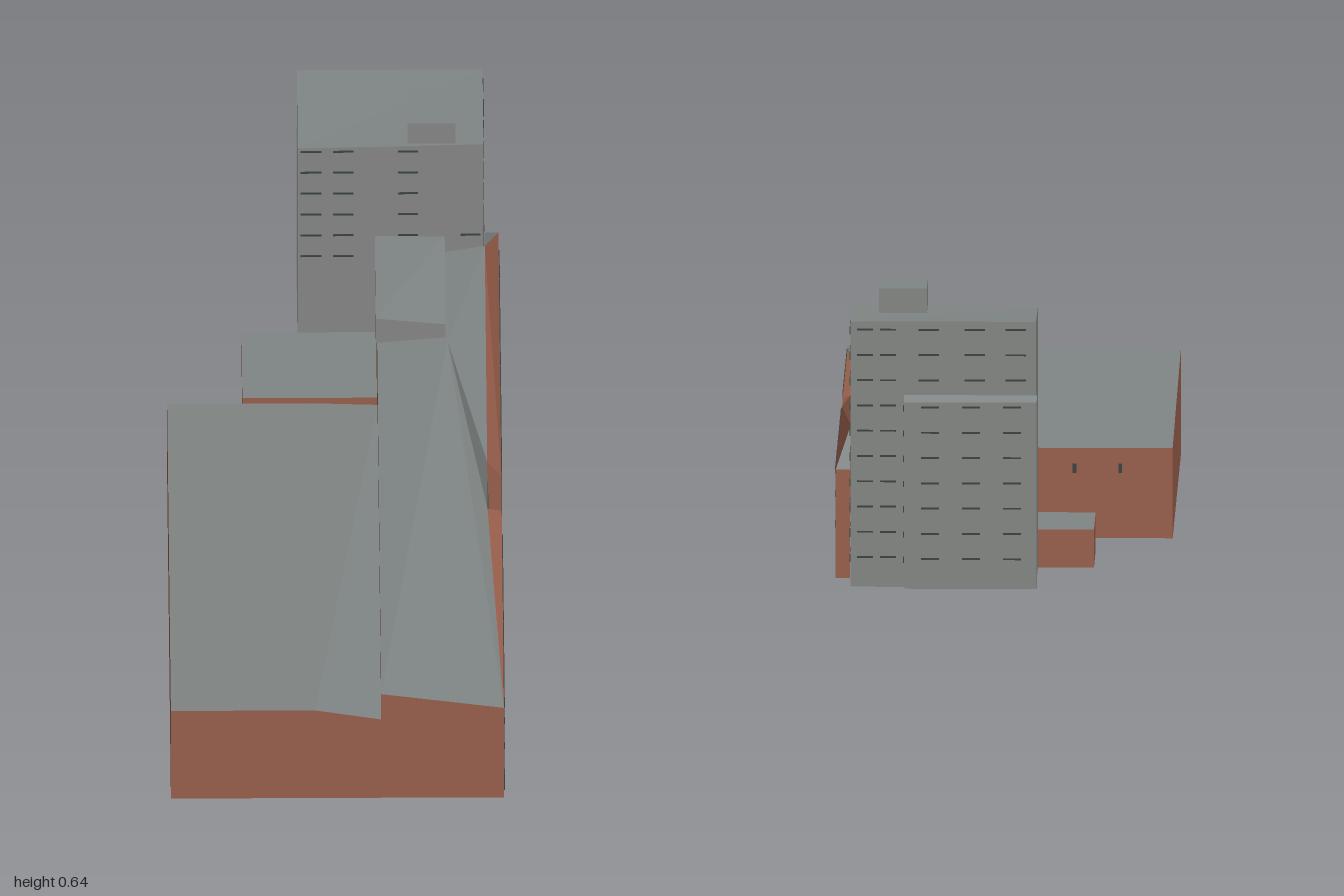
import * as THREE from 'three';

const mat = (name, color) => {
  const m = new THREE.MeshStandardMaterial({ color, side: THREE.DoubleSide, flatShading: true });
  m.name = name;
  return m;
};

export function createModel() {
  const brick = mat('brick', 0x9a5f4c);
  const roof = mat('roofGrey', 0x808685);
  const concrete = mat('concrete', 0x868886);
  const glass = mat('darkGlass', 0x39433f);
  const panel = mat('shutterGrey', 0x7b807e);

  const model = new THREE.Group();
  model.name = 'buildingComplex';
  const site = new THREE.Group();
  site.name = 'site';
  site.rotation.y = -6 * Math.PI / 180;
  model.add(site);

  // A part made of flat convex faces, each a loop of corners
  function part(name, material, faces, parent = site) {
    const pos = [];
    for (const f of faces)
      for (let i = 1; i < f.length - 1; i++) pos.push(...f[0], ...f[i], ...f[i + 1]);
    const g = new THREE.BufferGeometry();
    g.setAttribute('position', new THREE.Float32BufferAttribute(pos, 3));
    g.computeVertexNormals();
    const m = new THREE.Mesh(g, material);
    m.name = name;
    parent.add(m);
    return m;
  }
  // Four walls and a top without a floor; yt = heights at front left, front right, back right, back left
  function shell(name, wall, top, x0, x1, z0, z1, yb, yt) {
    const c = [[x0, z1], [x1, z1], [x1, z0], [x0, z0]];
    const lo = c.map(p => [p[0], yb, p[1]]);
    const hi = c.map((p, i) => [p[0], yt[i], p[1]]);
    part(name + 'Walls', wall, [0, 1, 2, 3].map(i => {
      const j = (i + 1) % 4;
      return [lo[i], lo[j], hi[j], hi[i]];
    }));
    part(name + 'Roof', top, [hi]);
  }
  // Thin plates: on a side wall (a..b along z) or on a front/back wall (a..b along x)
  const T = 0.004;
  function plate(name, material, w, h, d, x, y, z) {
    const m = new THREE.Mesh(new THREE.BoxGeometry(w, h, d), material);
    m.name = name;
    m.position.set(x, y, z);
    site.add(m);
  }
  const sidePlate = (name, m, x, a, b, y0, y1) =>
    plate(name, m, T, y1 - y0, Math.abs(b - a), x, (y0 + y1) / 2, (a + b) / 2);
  const facePlate = (name, m, z, a, b, y0, y1) =>
    plate(name, m, Math.abs(b - a), y1 - y0, T, (a + b) / 2, (y0 + y1) / 2, z);

  // Key lines of the plan
  const F = 0.962, B = -0.254, L = -0.361, V = 0.1, R = 0.369, C = 0.338;
  const G0 = 0.213, G1 = 0.083, TF = -0.686, E = -0.843;

  // Wide hall on the left, falling to a valley
  part('hallWalls', brick, [
    [[L, 0, F], [V, 0, F], [V, 0.21, F], [-0.045, 0.235, F], [L, 0.235, F]],
    [[L, 0, B], [L, 0, F], [L, 0.235, F], [L, 0.2, B]],
    [[V, 0, B], [L, 0, B], [L, 0.2, B], [-0.045, 0.2, B], [V, 0.195, B]],
  ]);
  part('hallRoof', roof, [
    [[L, 0.235, F], [-0.045, 0.235, F], [-0.045, 0.2, B], [L, 0.2, B]],
    [[-0.045, 0.235, F], [V, 0.21, F], [V, 0.195, B], [-0.045, 0.2, B]],
  ]);

  // Long wing with a recess in its street side
  part('wingWalls', brick, [
    [[V, 0, F], [R, 0, F], [R, 0.24, F], [V, 0.278, F]],
    [[V, 0.195, B], [V, 0.21, F], [V, 0.278, F], [V, 0.278, B]],
    [[V, 0, TF], [V, 0, B], [V, 0.278, B], [V, 0.278, TF]],
    [[R, 0, F], [R, 0, G0], [R, 0.24, G0], [R, 0.24, F]],
    [[R, 0, G0], [C, 0, G0], [C, 0.245, G0], [R, 0.24, G0]],
    [[C, 0, G0], [C, 0, G1], [C, 0.28, G1], [C, 0.245, G0]],
    [[C, 0, G1], [R, 0, G1], [R, 0.24, G1], [C, 0.28, G1]],
    [[R, 0, G1], [R, 0, E], [R, 0.24, E], [R, 0.24, G1]],
    [[R, 0, E], [C, 0, E], [C, 0.24, E], [R, 0.24, E]],
  ]);
  part('brickSlopes', brick, [
    [[R, 0.24, F], [R, 0.24, G0], [C, 0.245, G0]],
    [[R, 0.24, G1], [R, 0.24, E], [C, 0.315, TF], [C, 0.28, G1]],
  ]);
  const corner = [R, 0.24, F], crest = [0.254, 0.292, -0.358];
  part('wingRoof', roof, [
    [[V, 0.278, F], corner, crest],
    [[V, 0.278, F], crest, [V, 0.278, -0.358]],
    [[V, 0.278, -0.358], crest, [0.254, 0.3, TF], [V, 0.278, TF]],
    [corner, [C, 0.245, G0], crest],
    [[C, 0.245, G0], [C, 0.28, G1], crest],
    [[C, 0.28, G1], [C, 0.315, TF], crest],
    [crest, [C, 0.315, TF], [0.254, 0.3, TF]],
    [[R, 0.24, E], [C, 0.24, E], [C, 0.315, TF]],
  ]);

  // Rooftop box, low annex, tower with its penthouse and back shaft
  shell('rooftopBox', concrete, roof, 0.097, 0.25, TF, -0.372, 0.277, [0.343, 0.327, 0.341, 0.343]);
  shell('lowAnnex', brick, roof, -0.195, V, TF, -0.437, 0, [0.085, 0.085, 0.085, 0.085]);
  shell('tower', concrete, roof, -0.072, 0.335, -0.97, TF, 0, [0.578, 0.588, 0.588, 0.588]);
  shell('penthouse', concrete, roof, 0.169, 0.274, -0.832, -0.692, 0.586, [0.64, 0.64, 0.64, 0.64]);
  shell('backShaft', concrete, roof, -0.074, 0.217, -0.998, -0.97, 0, [0.425, 0.425, 0.413, 0.413]);

  // Street side ground floor: [start, end, height, grey?]
  [[0.94, 0.88, 0.045, 0], [0.86, 0.79, 0.05, 0], [0.78, 0.67, 0.045, 1], [0.66, 0.54, 0.045, 1],
    [0.53, 0.41, 0.045, 1], [0.39, 0.315, 0.045, 0], [0.08, 0, 0.04, 0], [-0.045, -0.09, 0.04, 0],
    [-0.09, -0.2, 0.06, 0], [-0.215, -0.26, 0.04, 0], [-0.305, -0.41, 0.075, 0],
    [-0.44, -0.55, 0.052, 0], [-0.565, -0.67, 0.052, 0], [-0.69, -0.75, 0.052, 0],
  ].forEach(([a, b, h, grey]) =>
    sidePlate('groundFloorBay', grey ? panel : glass, R, a, b, 0.004, h));
  sidePlate('recessDoor', panel, C, G0 - 0.005, G1 + 0.005, 0.002, 0.06);
  for (const y of [0.1, 0.165, 0.22])
    sidePlate('recessWindow', glass, C, G0 - 0.01, G1 + 0.01, y, y + 0.014);

  // Street side upper windows in small groups, and strips under the eaves
  for (const [a, b] of [[0.92, 0.3], [0.06, -0.77]]) {
    let k = 0;
    for (let z = a; z > b; z -= 0.026, k++) {
      if (k % 5 === 4) continue;
      for (const y of [0.1, 0.167])
        sidePlate('upperWindow', glass, R, z, z - 0.017, y, y + 0.016);
    }
    for (let z = a + 0.015; z > b; z -= 0.11)
      sidePlate('eavesWindow', glass, R, z, z - 0.085, 0.222, 0.237);
  }
  sidePlate('widePanel', panel, R + 0.001, -0.2, -0.28, 0.095, 0.112);

  // Tower window strips, floor by floor
  for (let i = 0; i < 10; i++) {
    const y = 0.572 - i * 0.056;
    if (i < 6) {
      for (const [a, b] of [[-0.066, -0.02], [0.005, 0.05], [0.148, 0.192]])
        if (y > 0.29) facePlate('towerFrontWindow', glass, TF, a, b, y - 0.004, y);
      if (i > 3) facePlate('towerFrontWindow', glass, TF, 0.285, 0.328, y - 0.004, y);
    }
    sidePlate('towerSideWindow', glass, 0.335, -0.93, -0.96, y - 0.015, y);
    if (i > 3) sidePlate('towerSideWindow', glass, 0.335, -0.7, -0.76, y - 0.004, y);
    sidePlate('towerSideWindow', glass, 0.335, -0.82, -0.88, y - 0.004, y);
    for (const x of [0.235, 0.285])
      facePlate('towerBackWindow', glass, -0.97, x, x + 0.035, y - 0.004, y);
    if (y > 0.43) {
      for (const x of [-0.05, 0.04, 0.14])
        facePlate('towerBackWindow', glass, -0.97, x, x + 0.045, y - 0.004, y);
    } else {
      for (const x of [-0.04, 0.05, 0.14])
        facePlate('shaftWindow', glass, -0.998, x, x + 0.04, y - 0.004, y);
      sidePlate('shaftSideWindow', glass, 0.217, -0.978, -0.99, y - 0.012, y);
    }
  }
  // Small vents in the back of the hall
  for (const x of [-0.25, -0.15, -0.06, 0.03])
    facePlate('hallVent', glass, B, x, x + 0.008, 0.145, 0.165);

  return model;
}
